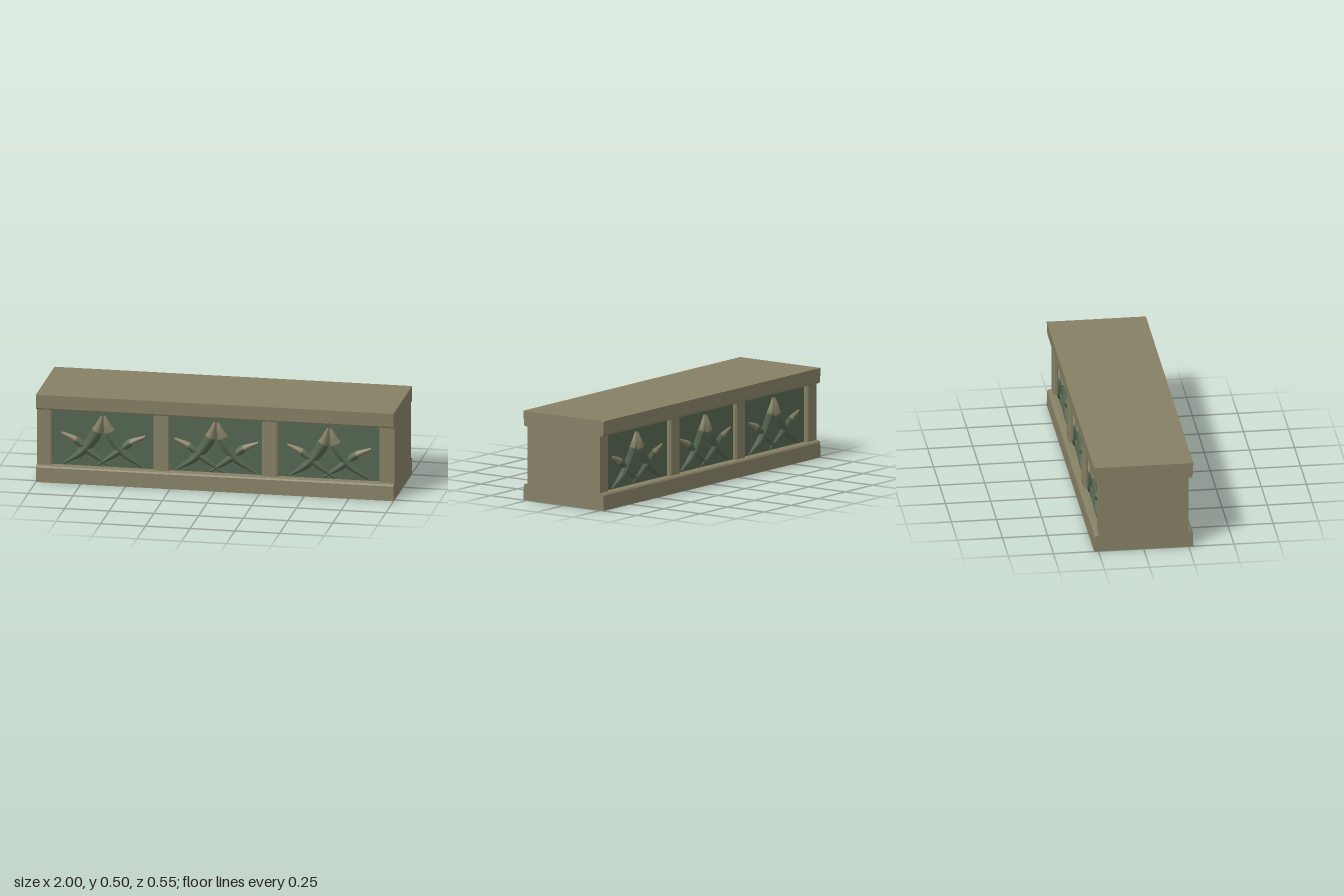
import * as THREE from 'three';

const stone = new THREE.MeshStandardMaterial({ color: 0x857f64 });
stone.name = 'sandy stone';
const green = new THREE.MeshStandardMaterial({ color: 0x53644f });
green.name = 'dark green stone';

const PANEL_Z = 0.225;

function add(parent, name, geometry, material, x = 0, y = 0, z = 0) {
  const mesh = new THREE.Mesh(geometry, material);
  mesh.name = name;
  mesh.position.set(x, y, z);
  parent.add(mesh);
  return mesh;
}

// Extrudes a (z, y) profile along x, centred on x = 0
function alongX(points, length) {
  const shape = new THREE.Shape(points.map(([z, y]) => new THREE.Vector2(z, y)));
  const g = new THREE.ExtrudeGeometry(shape, { depth: length, bevelEnabled: false });
  return g.translate(0, 0, -length / 2).rotateY(-Math.PI / 2);
}

// Extrudes an (x, z) post section with softened front edges along y
function postGeometry(width, height, outerLeft, outerRight) {
  const w = width / 2, b = 0.008, front = 0.248;
  const bl = outerLeft ? 0 : b, br = outerRight ? 0 : b;
  const pts = [[-w, -0.2], [w, -0.2], [w, -front + br], [w - br, -front], [-w + bl, -front], [-w, -front + bl]];
  const shape = new THREE.Shape(pts.map(([x, z]) => new THREE.Vector2(x, z)));
  const g = new THREE.ExtrudeGeometry(shape, { depth: height, bevelEnabled: false });
  return g.rotateX(-Math.PI / 2);
}

// Tapered carved blade: rounded cross-sections swept along a flat curve, pale for the first part
function bladeGeometry(path, widths, height, paleShare, side) {
  const curve = new THREE.CatmullRomCurve3(path.map(([x, y]) => new THREE.Vector3(x * side, y, 0)));
  const steps = 20, across = 6, positions = [], index = [];
  for (let i = 0; i <= steps; i++) {
    const t = i / steps, p = curve.getPoint(t), d = curve.getTangent(t);
    const f = t * (widths.length - 1), k = Math.min(Math.floor(f), widths.length - 2);
    const w = THREE.MathUtils.lerp(widths[k], widths[k + 1], f - k);
    const h = height * Math.min(1, w / 0.02);
    for (let j = 0; j <= across; j++) {
      const u = 1 - (2 * j) / across;
      positions.push(p.x - d.y * w * u, p.y + d.x * w * u, h * (1 - Math.abs(u) ** 1.6));
    }
  }
  for (let i = 0; i < steps; i++) {
    for (let j = 0; j < across; j++) {
      const a = i * (across + 1) + j, c = a + across + 1;
      index.push(a, a + 1, c, a + 1, c + 1, c);
    }
  }
  const g = new THREE.BufferGeometry();
  g.setAttribute('position', new THREE.Float32BufferAttribute(positions, 3));
  g.setIndex(index);
  g.computeVertexNormals();
  const split = Math.round(paleShare * steps) * across * 6;
  g.addGroup(0, split, 0);
  g.addGroup(split, index.length - split, 1);
  return g;
}

// Crossing blades that meet in a central peak
function createOrnament() {
  const group = new THREE.Group();
  group.name = 'carvedOrnament';
  const peak = [[-0.006, 0.385], [-0.04, 0.285], [-0.115, 0.18], [-0.225, 0.1]];
  const outer = [[-0.235, 0.278], [-0.145, 0.235], [-0.065, 0.17], [0.035, 0.1]];
  for (const side of [-1, 1]) {
    const name = side < 0 ? 'right' : 'left';
    add(group, name + 'OuterBlade', bladeGeometry(outer, [0.007, 0.022, 0.02, 0.005], 0.016, 0.3, side), [stone, green]);
    add(group, name + 'PeakBlade', bladeGeometry(peak, [0.006, 0.034, 0.026, 0.005], 0.022, 0.3, side), [stone, green]);
  }
  return group;
}

// One long face: rails, posts, panels and ornaments
function createFace(name) {
  const face = new THREE.Group();
  face.name = name;

  const bottom = [[0.2, 0], [0.275, 0], [0.272, 0.083], [0.267, 0.091], [0.25, 0.095], [0.2, 0.095]];
  const top = [[0.2, 0.413], [0.25, 0.413], [0.266, 0.415], [0.271, 0.424], [0.275, 0.5], [0.2, 0.5]];
  add(face, 'bottomRail', alongX(bottom, 2), stone);
  add(face, 'topRail', alongX(top, 2), stone);

  for (const x of [-0.9575, -0.304, 0.304, 0.9575]) {
    const width = Math.abs(x) > 0.5 ? 0.085 : 0.09;
    add(face, 'post', postGeometry(width, 0.33, x < -0.5, x > 0.5), stone, x, 0.09);
  }

  for (const x of [-0.632, 0, 0.632]) {
    const width = x === 0 ? 0.52 : 0.57;
    add(face, 'recessedPanel', new THREE.BoxGeometry(width, 0.325, 0.009), green, x, 0.254, PANEL_Z - 0.0045);
    const ornament = createOrnament();
    ornament.position.set(x, 0, PANEL_Z);
    face.add(ornament);
  }
  return face;
}

export function createModel() {
  const model = new THREE.Group();
  model.name = 'carvedStoneBlock';
  add(model, 'core', new THREE.BoxGeometry(2, 0.5, 0.436), stone, 0, 0.25, 0);
  const front = createFace('frontFace');
  const back = createFace('backFace');
  back.rotation.y = Math.PI;
  model.add(front, back);
  return model;
}
